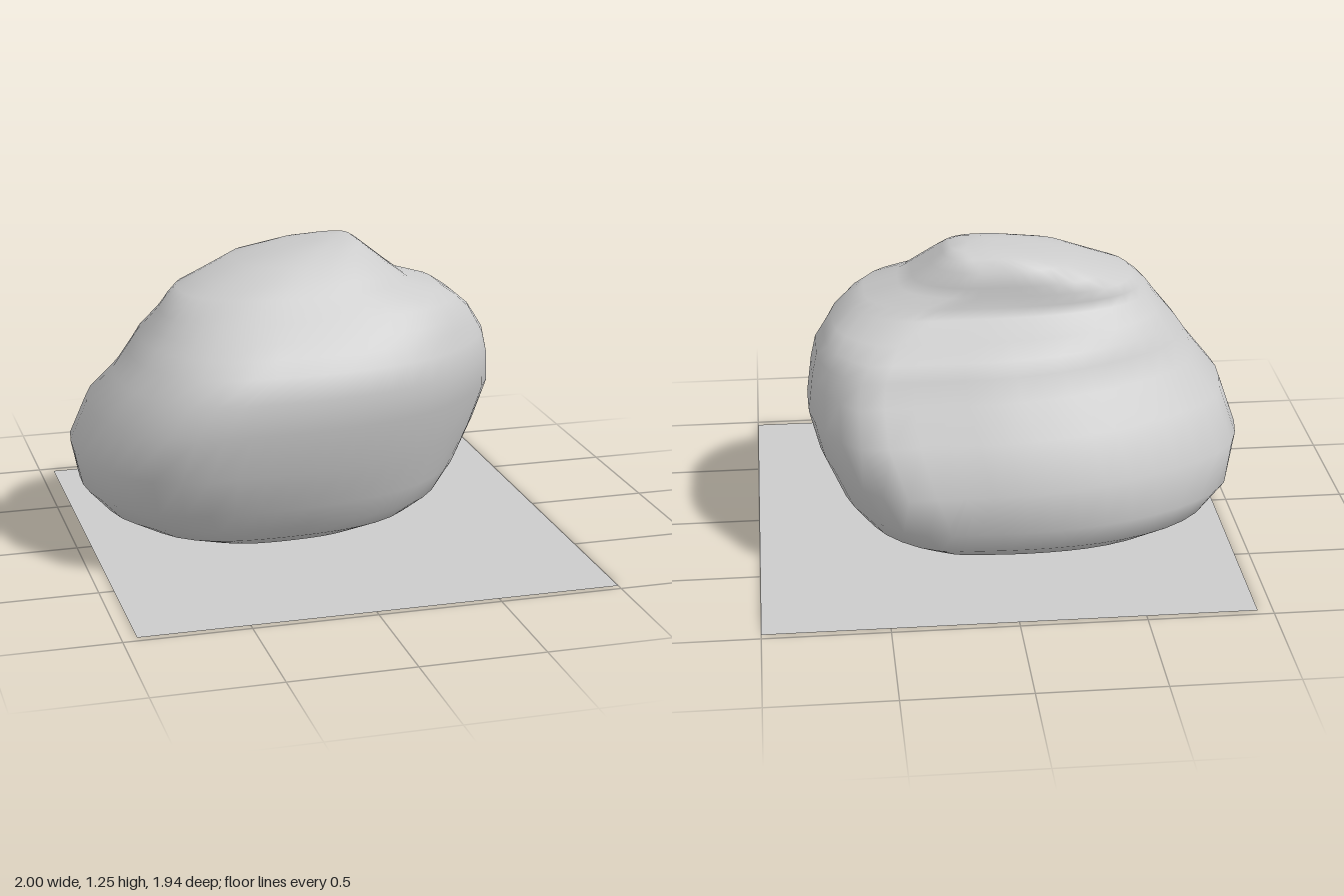
import * as THREE from 'three';

// Widest outline of the boulder seen from above: x, z
const PLAN = [
  [-1, 0], [-0.97, -0.25], [-0.92, -0.37], [-0.78, -0.49], [-0.6, -0.59], [-0.35, -0.69],
  [-0.08, -0.74], [0.2, -0.75], [0.48, -0.75], [0.64, -0.6], [0.71, -0.47], [0.76, -0.3],
  [0.78, -0.08], [0.71, 0.1], [0.59, 0.25], [0.4, 0.41], [0.15, 0.51], [-0.23, 0.565],
  [-0.62, 0.555], [-0.82, 0.46], [-0.92, 0.31], [-0.97, 0.2],
];

// Extents of each level: y, xMin, xMax, zMin, zMax
const LEVELS = [
  [0.02, -0.4, 0.1, -0.25, 0.15],
  [0.04, -0.55, 0.28, -0.42, 0.25],
  [0.1, -0.75, 0.47, -0.6, 0.36],
  [0.16, -0.87, 0.58, -0.68, 0.41],
  [0.26, -0.96, 0.66, -0.73, 0.47],
  [0.43, -1.0, 0.74, -0.745, 0.54],
  [0.61, -0.94, 0.78, -0.65, 0.57],
  [0.74, -0.83, 0.76, -0.56, 0.575],
  [0.83, -0.77, 0.74, -0.51, 0.53],
  [0.89, -0.725, 0.705, -0.48, 0.48],
  [0.94, -0.685, 0.67, -0.4, 0.435],
  [1.0, -0.64, 0.6, -0.295, 0.37],
  [1.04, -0.605, 0.54, -0.28, 0.33],
  [1.08, -0.56, 0.4, -0.27, 0.29],
  [1.12, -0.46, 0.345, -0.265, 0.25],
  [1.18, -0.32, 0.27, -0.255, 0.18],
  [1.22, -0.12, 0.22, -0.21, 0.1],
  [1.24, 0.02, 0.19, -0.15, 0.03],
];

// Loops the outline through every level, easing it into a rounded box at top and bottom
function boulderGeometry(n = 44) {
  const { lerp, smoothstep, clamp } = THREE.MathUtils;
  const curve = new THREE.CatmullRomCurve3(PLAN.map(([x, z]) => new THREE.Vector3(x, 0, z)), true);
  const ring = curve.getSpacedPoints(n).slice(0, n);
  const pos = [], idx = [];
  for (const [y, x0, x1, z0, z1] of LEVELS) {
    const round = Math.max(smoothstep(y, 0.8, 1.12), 0.6 * (1 - smoothstep(y, 0.1, 0.42)));
    const shoulder = 0.1 * smoothstep(y, 0.43, 0.7);
    for (const p of ring) {
      const u = (p.x + 0.11) / 0.89, v = (p.z + 0.0925) / 0.6575;
      const box = (Math.abs(u) ** 2.6 + Math.abs(v) ** 2.6) ** (-1 / 2.6);
      // Fuller shoulder at the back left corner
      const k = lerp(1, box, round) * (1 + shoulder * Math.max(u, 0) * Math.max(-v, 0));
      pos.push(
        (x0 + x1) / 2 + clamp(u * k, -1, 1) * (x1 - x0) / 2,
        y,
        (z0 + z1) / 2 + clamp(v * k, -1, 1) * (z1 - z0) / 2,
      );
    }
  }
  const last = (LEVELS.length - 1) * n, bottom = LEVELS.length * n, top = bottom + 1;
  pos.push(-0.15, 0.017, -0.05, 0.11, 1.245, -0.06);
  for (let i = 0; i < n; i++) {
    const j = (i + 1) % n;
    for (let r = 0; r < last; r += n) {
      idx.push(r + i, r + n + i, r + j, r + j, r + n + i, r + n + j);
    }
    idx.push(bottom, i, j, top, last + j, last + i);
  }
  const g = new THREE.BufferGeometry();
  g.setAttribute('position', new THREE.Float32BufferAttribute(pos, 3));
  g.setIndex(idx);
  g.computeVertexNormals();
  return g;
}

export function createModel() {
  const group = new THREE.Group();

  const boulder = new THREE.Mesh(boulderGeometry(), new THREE.MeshStandardMaterial({ color: 0xcccccc }));
  boulder.name = 'boulder';
  group.add(boulder);

  // Flat square under the boulder
  const base = new THREE.Mesh(
    new THREE.PlaneGeometry(1.94, 1.94).rotateX(-Math.PI / 2),
    new THREE.MeshStandardMaterial({ color: 0xcccccc, side: THREE.DoubleSide }),
  );
  base.name = 'basePlane';
  base.position.x = 0.03;
  group.add(base);

  return group;
}
